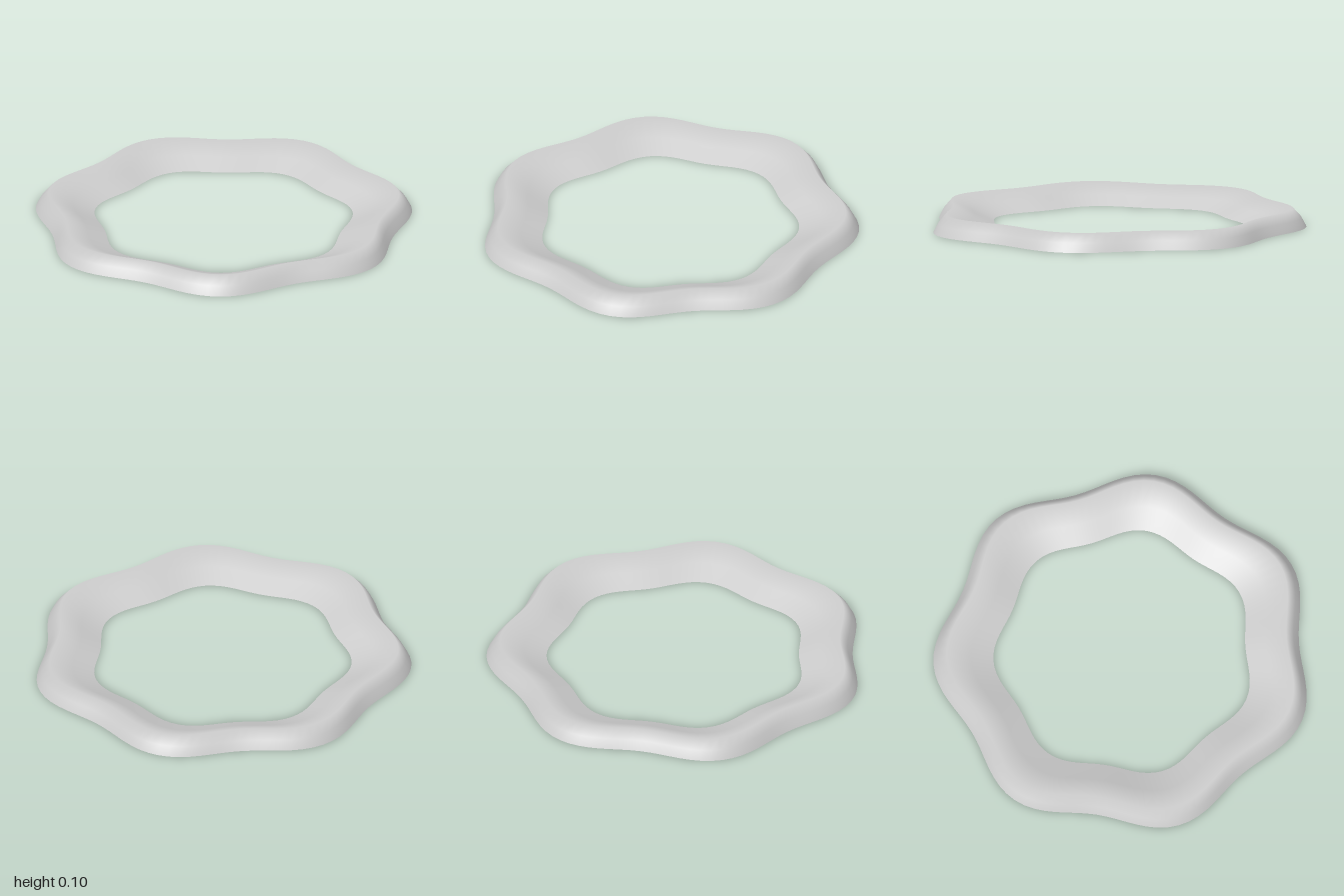
import * as THREE from 'three';

// Cross-section from outer rim over the crest to inner rim:
// mean radius, lobe amplitude, height
const PROFILE = [
  [0.975, 0.045, 0],
  [0.948, 0.045, 0.05],
  [0.906, 0.043, 0.098],
  [0.785, 0.035, 0.046],
  [0.672, 0.028, 0],
];
const LOBES = 7;
const SEGMENTS = 112;
const CENTRE_Z = 0.03;

// Sweeps the cross-section round a seven-lobed closed loop
function wavyRing() {
  const positions = [], index = [], n = PROFILE.length;
  for (let i = 0; i < SEGMENTS; i++) {
    const angle = (i / SEGMENTS) * Math.PI * 2;
    for (const [radius, wave, y] of PROFILE) {
      const r = radius + wave * Math.cos(LOBES * angle);
      positions.push(r * Math.sin(angle), y, CENTRE_Z - r * Math.cos(angle));
    }
    for (let j = 0; j < n - 1; j++) {
      const a = i * n + j, b = ((i + 1) % SEGMENTS) * n + j;
      index.push(a, a + 1, b, b, a + 1, b + 1);
    }
  }
  const geometry = new THREE.BufferGeometry();
  geometry.setAttribute('position', new THREE.Float32BufferAttribute(positions, 3));
  geometry.setIndex(index);
  geometry.computeVertexNormals();
  // Make sure the upper surface is the front
  if (geometry.attributes.normal.getY(2) < 0) {
    geometry.setIndex(index.reverse());
    geometry.computeVertexNormals();
  }
  return geometry;
}

export function createModel() {
  const group = new THREE.Group();
  group.name = 'lobedRing';
  // Open underneath, so both sides show
  const lightGrey = new THREE.MeshStandardMaterial({ color: 0xcccccc, side: THREE.DoubleSide });
  lightGrey.name = 'lightGrey';
  const ring = new THREE.Mesh(wavyRing(), lightGrey);
  ring.name = 'ringShell';
  group.add(ring);
  return group;
}
